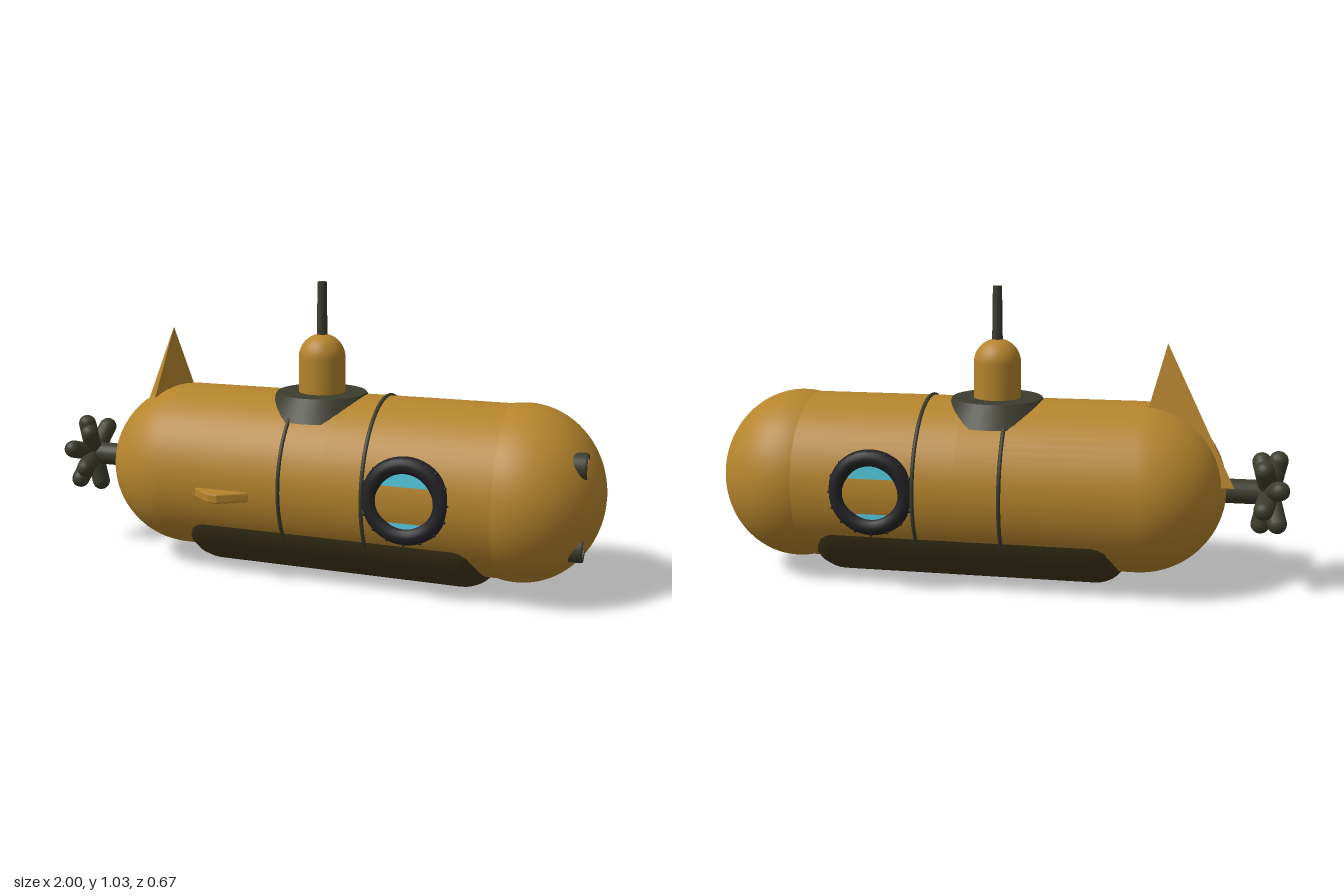
import * as THREE from 'three';
import { ConvexGeometry } from 'three/addons/geometries/ConvexGeometry.js';

const Y = 0.35, Z = -0.022; // hull axis

function material(name, color) {
  const m = new THREE.MeshStandardMaterial({ color });
  m.name = name;
  return m;
}

export function createModel() {
  const ochre = material('ochre paint', 0xb5842c);
  const brown = material('dark brown keel paint', 0x40361a);
  const olive = material('dark olive metal', 0x3c3c2e);
  const rubber = material('black rubber', 0x232326);
  const glass = material('blue glass', 0x55cfe4);
  const lamp = material('pale lamp', 0xd6e6ca);
  const root = new THREE.Group();
  root.name = 'submarine';

  const add = (name, geometry, mat, x = 0, y = 0, z = 0, parent = root) => {
    const mesh = new THREE.Mesh(geometry, mat);
    mesh.name = name;
    mesh.position.set(x, y, z);
    parent.add(mesh);
    return mesh;
  };
  // lathe about the x axis from [x, radius] pairs
  const latheX = (pairs, sides) =>
    new THREE.LatheGeometry(pairs.map(([x, r]) => new THREE.Vector2(r, x)), sides).rotateZ(-Math.PI / 2);

  // main hull: round tail and straight body
  const hull = [];
  for (let i = 0; i <= 20; i++) {
    const a = (i / 20) * Math.PI / 2;
    hull.push([-0.5 - 0.3 * Math.cos(a), 0.298 * Math.sin(a)]);
  }
  hull.push([0.1, 0.298], [0.7, 0.298]);
  add('hull', latheX(hull, 64), ochre, 0, Y, Z);
  add('nose', new THREE.SphereGeometry(0.304, 64, 40).scale(0.91, 1, 1), ochre, 0.72, Y, Z);

  // keel with rounded ends
  const keel = [[-0.47, 0], [-0.47, 0.17]];
  for (let i = 0; i <= 8; i++) {
    const a = (i / 8) * Math.PI / 2;
    keel.push([-0.36 - 0.11 * Math.cos(a), 0.17 + 0.097 * Math.sin(a)]);
  }
  const frontEnd = keel.map(([x, r]) => [0.18 - x, r]).reverse();
  add('keel', latheX([...keel, ...frontEnd], 32), brown, 0, 0.271, Z);

  // hull bands
  for (const x of [-0.054, 0.239]) {
    add('hullBand', new THREE.TorusGeometry(0.299, 0.007, 8, 64).rotateY(Math.PI / 2), olive, x, Y, Z);
  }

  // tower and periscope
  add('towerCollar', new THREE.CylinderGeometry(0.158, 0.207, 0.078, 40), olive, 0, 0.613, Z);
  const tower = [new THREE.Vector2(0.082, 0.6)];
  for (let i = 0; i <= 12; i++) {
    const a = (i / 12) * Math.PI / 2;
    tower.push(new THREE.Vector2(0.082 * Math.cos(a), 0.775 + 0.082 * Math.sin(a)));
  }
  add('tower', new THREE.LatheGeometry(tower, 40), ochre, 0, 0, Z);
  add('periscope', new THREE.CylinderGeometry(0.016, 0.019, 0.2, 16), olive, 0, 0.938, Z);

  // portholes on both sides
  for (const side of [1, -1]) {
    const porthole = new THREE.Group();
    porthole.name = side > 0 ? 'frontPorthole' : 'backPorthole';
    porthole.position.set(0.384, 0.363, Z);
    if (side < 0) porthole.rotation.y = Math.PI;
    root.add(porthole);
    add('portholeRing', new THREE.TorusGeometry(0.12, 0.029, 16, 48), rubber, 0, 0, 0.281, porthole);
    add('portholeGlass', new THREE.CircleGeometry(0.11, 40), glass, 0, -0.003, 0.2915, porthole);
    for (let i = 0; i < 16; i++) {
      const a = (i / 16) * Math.PI * 2;
      add('rivet', new THREE.SphereGeometry(0.006, 8, 6), rubber,
        0.145 * Math.cos(a), 0.145 * Math.sin(a), 0.293, porthole);
    }
  }

  // headlights sunk into the nose
  for (const s of [1, -1]) {
    const y = Y + s * 0.137;
    add('headlightRing', latheX([[0.86, 0.046], [0.934, 0.046], [0.943, 0.043], [0.943, 0.037], [0.934, 0.034]], 28),
      olive, 0, y, 0.105);
    add('headlightLens', new THREE.CircleGeometry(0.036, 28).rotateY(Math.PI / 2), lamp, 0.94, y, 0.105);
  }

  // small side fin
  const finShape = new THREE.Shape();
  finShape.moveTo(-0.355, -0.25);
  finShape.lineTo(-0.17, -0.25);
  finShape.lineTo(-0.17, -0.277);
  finShape.lineTo(-0.255, -0.329);
  finShape.lineTo(-0.285, -0.329);
  finShape.lineTo(-0.355, -0.277);
  const sideFin = new THREE.ExtrudeGeometry(finShape,
    { depth: 0.024, bevelEnabled: true, bevelSize: 0.005, bevelThickness: 0.005, bevelSegments: 2 });
  add('sideFin', sideFin.rotateX(-Math.PI / 2), ochre, 0, 0.314, 0);

  // faceted tail fin
  const tailFin = [
    [-0.585, 0.855, -0.035], [-0.82, 0.385, -0.13], [-0.76, 0.385, -0.13],
    [-0.525, 0.63, -0.075], [-0.61, 0.595, 0.09],
  ].map((p) => new THREE.Vector3(...p));
  add('tailFin', new ConvexGeometry(tailFin), ochre);

  // shaft and propeller: two staggered rows of stubby blades
  add('propellerShaft', new THREE.CylinderGeometry(0.042, 0.042, 0.2, 24).rotateZ(Math.PI / 2), olive, -0.84, Y, -0.027);
  const propeller = new THREE.Group();
  propeller.name = 'propeller';
  propeller.position.set(-0.943, Y, -0.027);
  root.add(propeller);
  add('propellerHub', new THREE.SphereGeometry(0.05, 20, 14), olive, 0, 0, 0, propeller);
  for (let i = 0; i < 10; i++) {
    const a = (i / 10) * Math.PI * 2;
    const dir = new THREE.Vector3(i % 2 ? 0.22 : -0.22, Math.cos(a), Math.sin(a)).normalize();
    const blade = add('propellerBlade', new THREE.CapsuleGeometry(0.033, 0.083, 6, 14), olive, 0, 0, 0, propeller);
    blade.position.copy(dir).multiplyScalar(0.074);
    blade.quaternion.setFromUnitVectors(new THREE.Vector3(0, 1, 0), dir);
  }
  return root;
}
